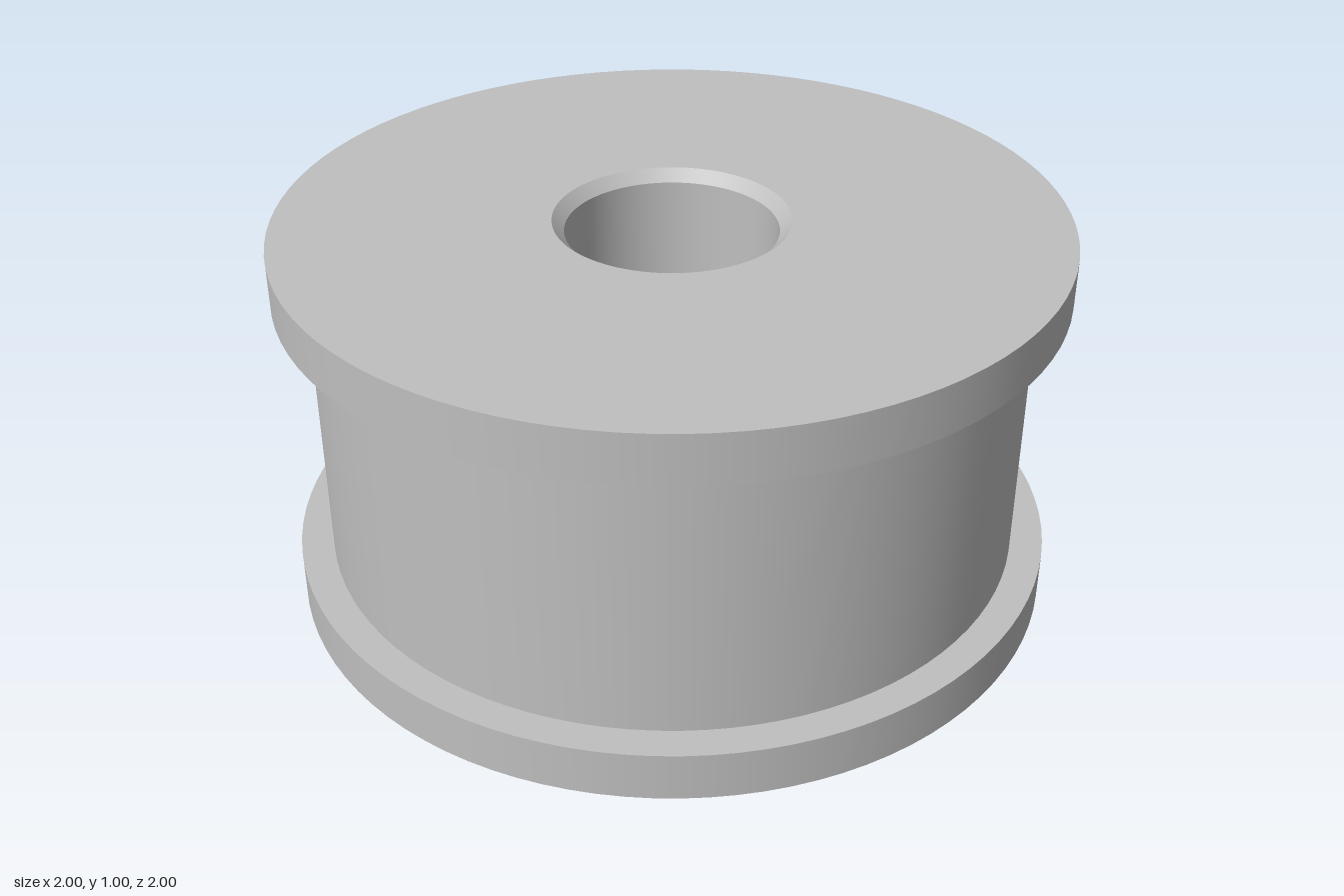
import * as THREE from 'three';
import { mergeGeometries } from 'three/addons/utils/BufferGeometryUtils.js';

const SEGMENTS = 96;

// Revolve each profile edge on its own, so the corners between them stay sharp.
// Profiles run anticlockwise in (radius, y), which turns the faces outward.
function revolve(profile) {
  const edges = [];
  for (let i = 0; i < profile.length - 1; i++) {
    const ends = [profile[i], profile[i + 1]].map(([r, y]) => new THREE.Vector2(r, y));
    edges.push(new THREE.LatheGeometry(ends, SEGMENTS));
  }
  return mergeGeometries(edges);
}

export function createModel() {
  const model = new THREE.Group();
  model.name = 'flangedRoller';

  const grey = new THREE.MeshStandardMaterial({ color: 0xbfbfbf });
  grey.name = 'grey metal';

  const height = 1;
  const flange = 0.13; // flange thickness
  const rim = 1; // flange radius
  const core = 0.915; // drum radius
  const bore = 0.27; // hole radius
  const mouth = 0.3; // hole radius at the outer faces
  const bevel = mouth - bore;

  const add = (name, profile) => {
    const mesh = new THREE.Mesh(revolve(profile), grey);
    mesh.name = name;
    model.add(mesh);
  };

  // Flanges: inner step, rim, and flat outer face
  add('bottomFlange', [[mouth, 0], [rim, 0], [rim, flange], [core, flange]]);
  add('topFlange', [[core, height - flange], [rim, height - flange], [rim, height], [mouth, height]]);

  // Drum between the flanges
  add('drum', [[core, flange], [core, height - flange]]);

  // Through hole, bevelled at both ends
  add('bore', [[mouth, height], [bore, height - bevel], [bore, bevel], [mouth, 0]]);

  return model;
}
